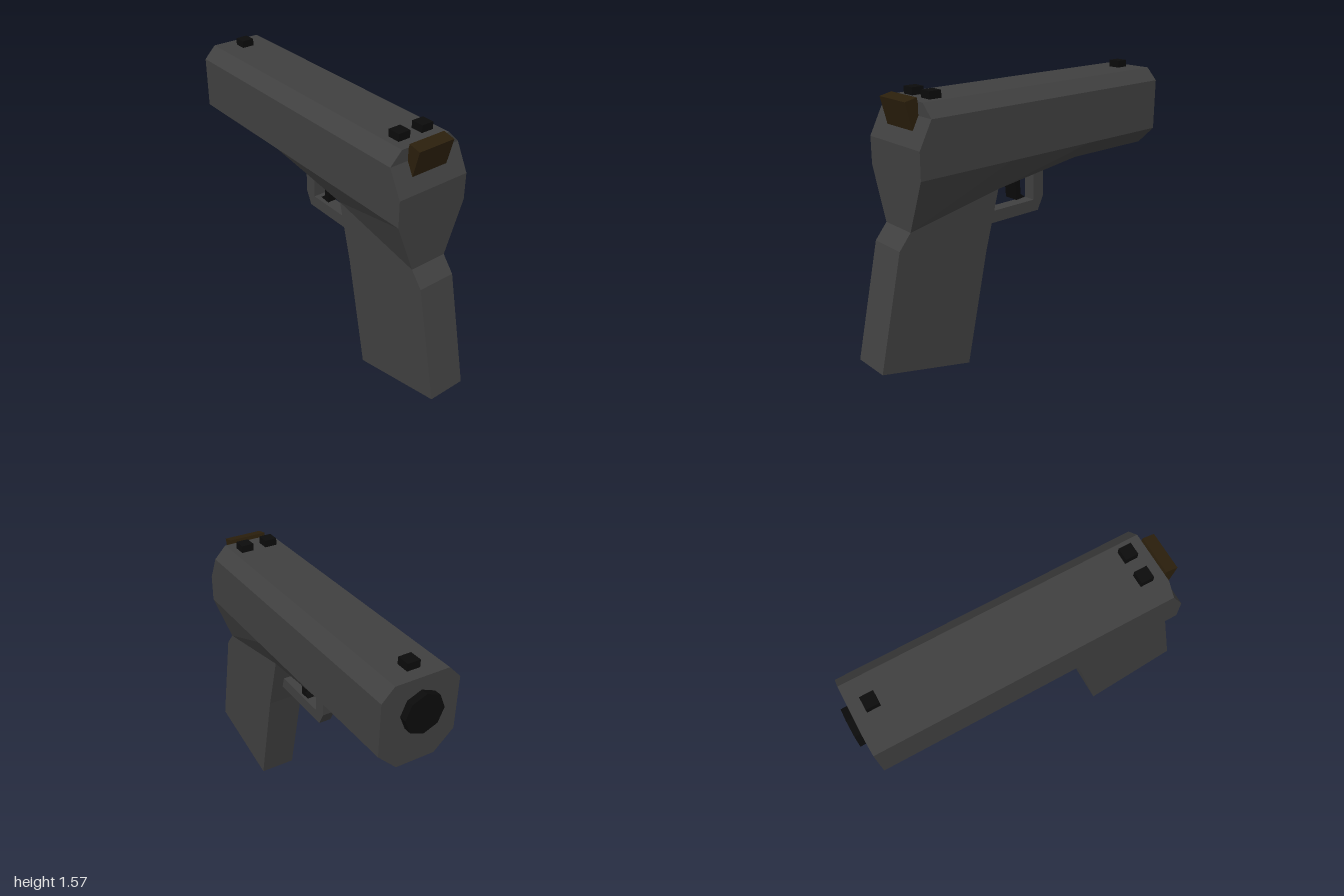
import * as THREE from 'three';

const flat = (name, color) => {
  const m = new THREE.MeshStandardMaterial({ color });
  m.name = name;
  m.flatShading = true;
  return m;
};

// Side profile given as [z, y] pairs, extruded to a width centred on x = 0
function profile(points, width) {
  const shape = new THREE.Shape(points.map(([z, y]) => new THREE.Vector2(z, y)));
  const g = new THREE.ExtrudeGeometry(shape, { depth: width, bevelEnabled: false });
  g.rotateY(-Math.PI / 2);
  g.translate(width / 2, 0, 0);
  return g;
}

// Bevelled body lofted along z; the upper rear points step forward for the sloped back
function bodyGeometry() {
  const ring = (z, bottom, zTop = z) => {
    const half = [
      [0.15, 1.525, zTop], [0.218, 1.455, zTop], [0.218, 1.31, z],
      [0.218, 1.16, z], [0.11, bottom, z],
    ];
    return [...half, ...half.map(([x, y, d]) => [-x, y, d]).reverse()];
  };
  const rings = [ring(-0.96, 1.055), ring(-0.38, 1.055), ring(0.21, 0.98), ring(0.79, 0.87, 0.715)];
  const pos = [];
  const quad = (a, b, c, d) => pos.push(...a, ...b, ...c, ...a, ...c, ...d);
  for (let r = 0; r < rings.length - 1; r++) {
    const p = rings[r], q = rings[r + 1];
    for (let i = 0; i < 10; i++) {
      const j = (i + 1) % 10;
      quad(p[i], q[i], q[j], p[j]);
    }
  }
  const front = rings[0], back = rings[rings.length - 1];
  for (let i = 0; i < 4; i++) {
    quad(back[i], back[9 - i], back[8 - i], back[i + 1]);
    quad(front[i], front[i + 1], front[8 - i], front[9 - i]);
  }
  const g = new THREE.BufferGeometry();
  g.setAttribute('position', new THREE.Float32BufferAttribute(pos, 3));
  g.computeVertexNormals();
  return g;
}

export function createModel() {
  const grey = flat('dark grey', 0x404040);
  const black = flat('black', 0x0b0b0b);
  const brown = flat('dark brown', 0x2b1f0c);

  const model = new THREE.Group();
  const add = (name, geometry, material) => {
    const mesh = new THREE.Mesh(geometry, material);
    mesh.name = name;
    model.add(mesh);
    return mesh;
  };

  add('body', bodyGeometry(), grey);

  // Slanted handle
  add('grip', profile([
    [0.79, 0.87], [0.21, 0.98], [0.3, 0.64], [0.435, 0], [1, 0.14], [0.86, 0.785],
  ], 0.22), grey);

  // L-shaped guard in front of the grip
  add('triggerGuard', profile([
    [0.28, 0.76], [-0.155, 0.76], [-0.195, 0.84], [-0.195, 1.04],
    [-0.12, 1.03], [-0.12, 0.83], [0.27, 0.83],
  ], 0.075), grey);

  add('trigger', profile([
    [0.035, 1.005], [-0.035, 1.015], [-0.005, 0.98], [-0.012, 0.89], [-0.045, 0.866], [0.02, 0.86],
  ], 0.09), black);

  // Eight-sided muzzle end
  const muzzle = new THREE.CylinderGeometry(0.11, 0.11, 0.06, 8);
  muzzle.rotateX(Math.PI / 2);
  add('muzzle', muzzle, black).position.set(0, 1.347, -0.97);

  add('hammer', profile([
    [0.79, 1.53], [0.72, 1.545], [0.705, 1.46], [0.752, 1.385],
  ], 0.22), brown);

  // One sight at the muzzle end, a pair at the rear
  const sight = new THREE.BoxGeometry(0.072, 0.05, 0.072);
  for (const [name, x, z] of [
    ['frontSight', 0, -0.855], ['rearSightLeft', 0.074, 0.61], ['rearSightRight', -0.074, 0.61],
  ]) add(name, sight, black).position.set(x, 1.54, z);

  return model;
}
